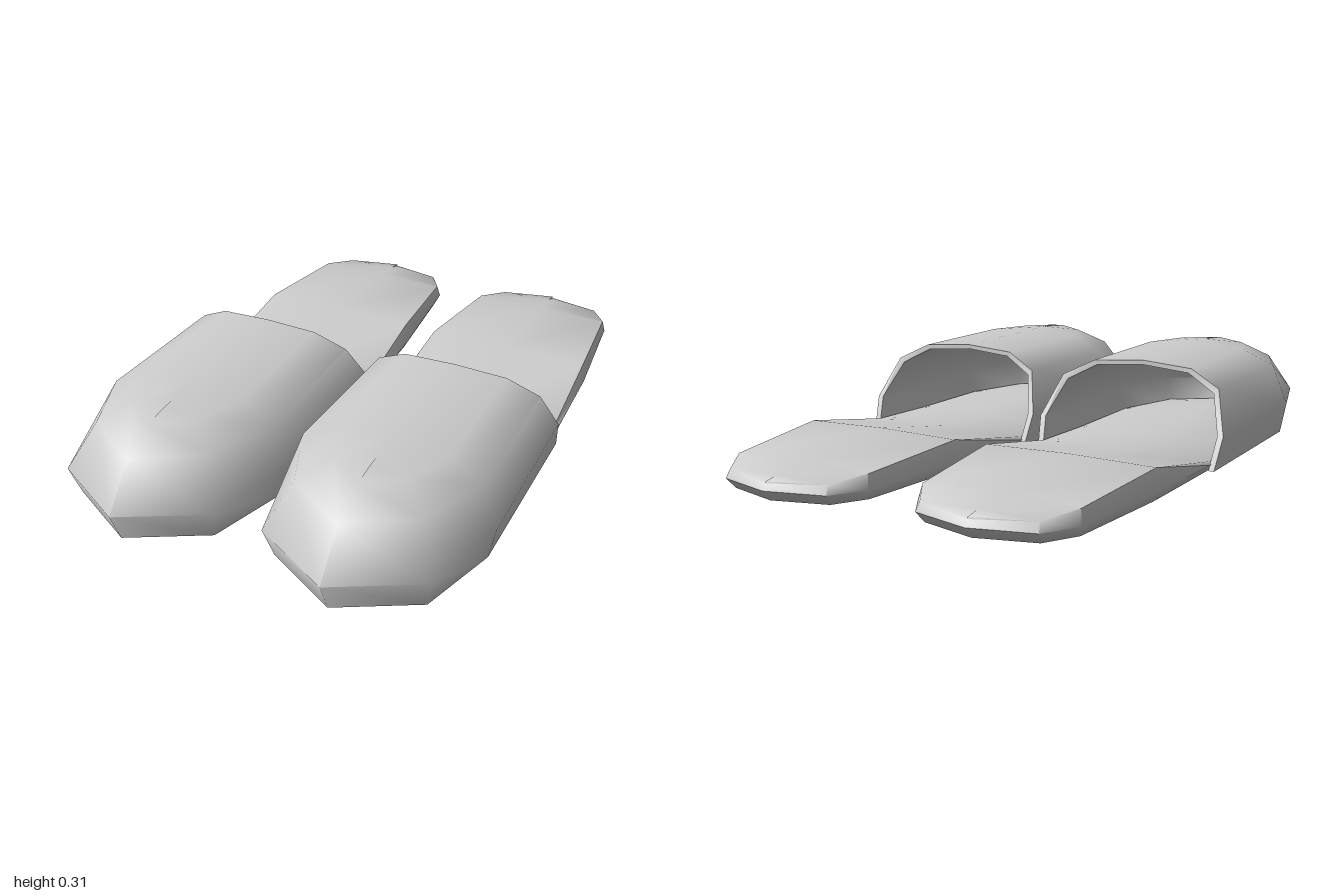
import * as THREE from 'three';
import { mergeGeometries, toCreasedNormals } from 'three/addons/utils/BufferGeometryUtils.js';

// Skin a list of cross-sections (equal length lists of [x, y, z])
function skin(rows, closed) {
  const pos = [];
  const tri = (...p) => {
    const [a, b, c] = p.map((q) => new THREE.Vector3(...q));
    if (b.sub(a).cross(c.sub(a)).length() > 1e-9) pos.push(...p.flat());
  };
  const n = rows[0].length;
  for (let i = 0; i < rows.length - 1; i++) {
    for (let j = 0; j < (closed ? n : n - 1); j++) {
      const k = (j + 1) % n;
      const a = rows[i][j], b = rows[i][k], c = rows[i + 1][k], d = rows[i + 1][j];
      tri(a, b, c);
      tri(a, c, d);
    }
  }
  const g = new THREE.BufferGeometry();
  g.setAttribute('position', new THREE.Float32BufferAttribute(pos, 3));
  return g;
}

// Sole: sections from heel to toe as [z, half width, top height]
function soleGeometry() {
  const sections = [
    [-1, 0, 0.06], [-0.95, 0.19, 0.068], [-0.845, 0.255, 0.085], [-0.45, 0.293, 0.108],
    [-0.07, 0.302, 0.042], [0.2, 0.302, 0.035], [0.57, 0.3, 0.035], [0.82, 0.22, 0.035], [0.94, 0, 0.035],
  ];
  const rows = sections.map(([z, w, h]) => {
    const low = z * 0.97, top = z * 0.985, xl = w * 0.94, xt = w * 0.97;
    const mid = Math.min(h * 0.6, 0.035);
    return [
      [0, 0, low], [xl, 0, low], [w, mid, z], [xt, h - 0.006, top],
      [0, h, top], [-xt, h - 0.006, top], [-w, mid, z], [-xl, 0, low],
    ];
  });
  return toCreasedNormals(skin(rows, true), 1.2);
}

// Upper: closed-toe shell with thickness, open at the back and below
function upperGeometry() {
  // Each level: height, then [half width, z] from the opening to the toe
  const levels = [
    [0.006, [0.315, -0.07], [0.318, 0.57], [0.24, 0.83], [0, 0.96]],
    [0.11, [0.327, -0.03], [0.338, 0.57], [0.26, 0.86], [0, 1]],
    [0.245, [0.28, 0.045], [0.29, 0.55], [0.2, 0.77], [0, 0.89]],
    [0.298, [0.175, 0.07], [0.18, 0.54], [0.12, 0.69], [0, 0.78]],
    [0.31, [0, 0.08], [0, 0.53], [0, 0.63], [0, 0.69]],
  ];
  const outer = [], inner = [];
  for (let i = 0; i < 7; i++) {
    const s = i > 3 ? -1 : 1, k = i > 3 ? 6 - i : i;
    outer.push(levels.map((l) => [s * l[k + 1][0], l[0], l[k + 1][1]]));
    inner.push(outer[i].map(([x, y, z], j) => [x * 0.94, j > 1 ? y - 0.015 : y, k > 1 ? z - 0.025 : z]));
  }
  const shell = skin(outer.map((o, i) => [...o, ...inner[i].slice().reverse()]), true);
  // Rim of the foot opening on both sides
  const rimLeft = skin([inner[0], outer[0]], false);
  const rimRight = skin([outer[6], inner[6]], false);
  return toCreasedNormals(mergeGeometries([shell, rimLeft, rimRight]), 1.2);
}

export function createModel() {
  const group = new THREE.Group();
  group.name = 'slippers';
  const material = new THREE.MeshStandardMaterial({ color: 0xcccccc, side: THREE.DoubleSide });
  const sole = soleGeometry(), upper = upperGeometry();
  for (const [name, x] of [['leftSlipper', 0.342], ['rightSlipper', -0.342]]) {
    const slipper = new THREE.Group();
    slipper.name = name;
    slipper.position.x = x;
    for (const [part, geometry] of [['sole', sole], ['upper', upper]]) {
      const mesh = new THREE.Mesh(geometry, material);
      mesh.name = part;
      slipper.add(mesh);
    }
    group.add(slipper);
  }
  return group;
}
